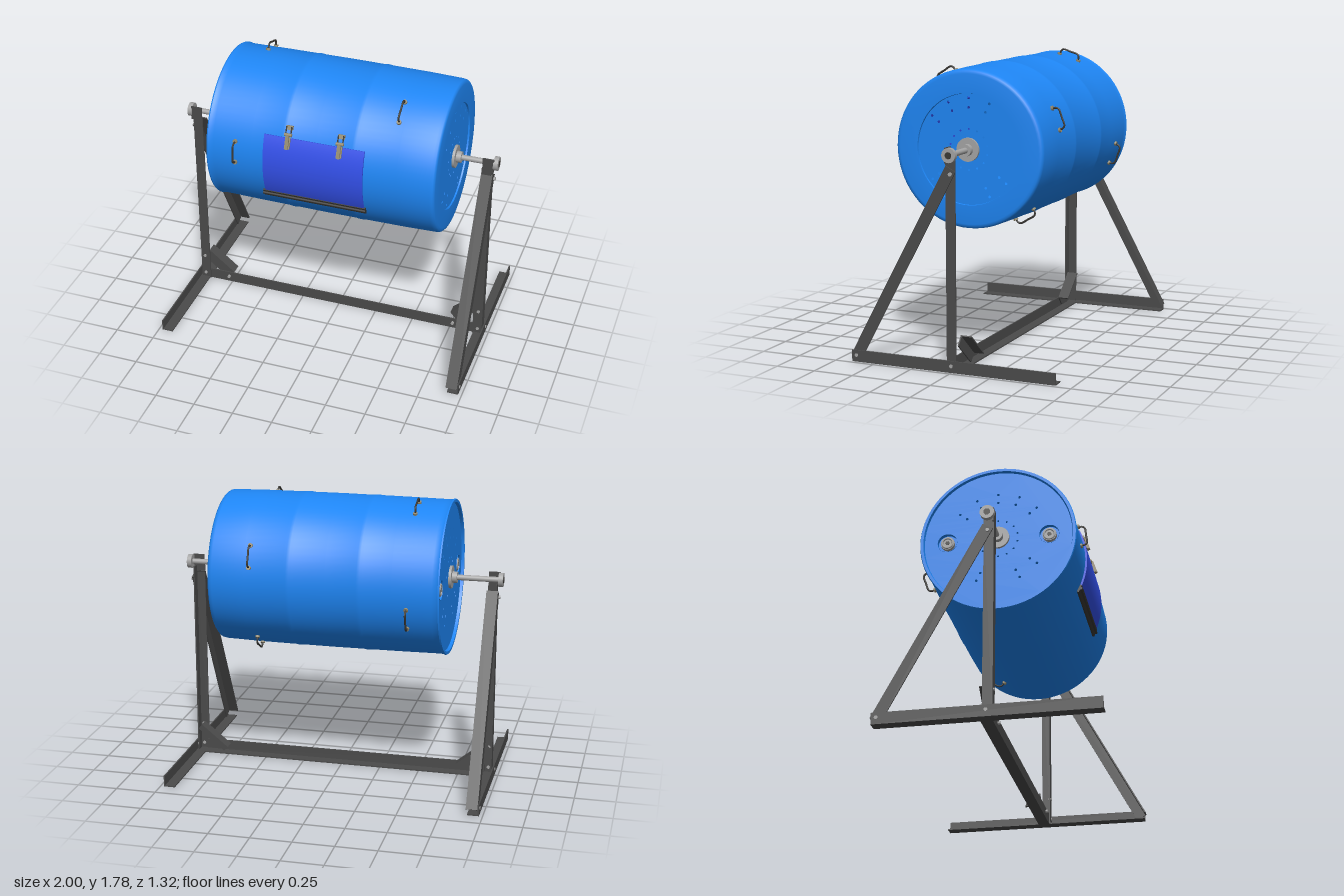
import * as THREE from 'three';
import { toCreasedNormals } from 'three/addons/utils/BufferGeometryUtils.js';

const V = (x, y, z) => new THREE.Vector3(x, y, z);
const mat = (color, side = THREE.FrontSide) => new THREE.MeshStandardMaterial({ color, side });
const blue = mat(0x1e86f5, THREE.DoubleSide);
const violet = mat(0x3350ea);
const iron = mat(0x4b4b4b);
const dark = mat(0x3a3834);
const steel = mat(0xa5a5a5);
const brass = mat(0x958b70);
const AXLE = 1.27; // height of the turning axis
const deg = Math.PI / 180;

function add(parent, name, geometry, material, x = 0, y = 0, z = 0) {
  const mesh = new THREE.Mesh(geometry, material);
  mesh.name = name;
  mesh.position.set(x, y, z);
  parent.add(mesh);
  return mesh;
}

// Cylinder lying along x
const rod = (r, length, sides = 24) => new THREE.CylinderGeometry(r, r, length, sides).rotateZ(-Math.PI / 2);

// Angle iron: outer corner at start, legs along u and v, running along w
function angleIron(parent, name, start, u, v, w, length, size = 0.07) {
  const t = 0.008;
  const shape = new THREE.Shape();
  [[0, 0], [size, 0], [size, t], [t, t], [t, size], [0, size]].forEach(([a, b], i) =>
    i ? shape.lineTo(a, b) : shape.moveTo(a, b));
  const geometry = new THREE.ExtrudeGeometry(shape, { depth: length, bevelEnabled: false });
  const rightHanded = u.clone().cross(v).dot(w) > 0;
  const m = new THREE.Matrix4().makeBasis(rightHanded ? u : v, rightHanded ? v : u, w).setPosition(start);
  add(parent, name, geometry.applyMatrix4(m), iron);
}

function stand(s) {
  const g = new THREE.Group();
  g.name = s > 0 ? 'leftStand' : 'rightStand';
  const inX = V(-s, 0, 0), up = V(0, 1, 0), back = V(0, 0, -1);
  angleIron(g, 'foot', V(s * 0.978, 0, -0.65), inX, up, V(0, 0, 1), 1.3);
  angleIron(g, 'upright', V(s * 0.962, 0, 0.035), inX, back, up, 1.24, 0.06);
  add(g, 'uprightTip', new THREE.BoxGeometry(0.07, 0.09, 0.008), iron, s * 0.94, 1.265, 0.031);

  // Sloping brace, one towards the front and one towards the back
  const low = V(s * 0.97, 0.025, s * 0.628), high = V(s * 0.97, 1.19, 0);
  const along = high.clone().sub(low), length = along.length();
  along.normalize();
  const out = V(0, Math.abs(along.z), s * along.y);
  angleIron(g, 'brace', low.addScaledVector(out, 0.035), inX, out.clone().negate(), along, length);

  // Corner gusset between upright and crossbeam
  const a = V(s * 0.76, 0.045, s > 0 ? -0.03 : 0.018), run = V(s * 0.17, 0.14, 0);
  const n = V(-s * 0.14, 0.17, 0).normalize();
  angleIron(g, 'gusset', a.addScaledVector(n, 0.035), n.clone().negate(), back, run.clone().normalize(), run.length());

  // Bolts
  for (const [y, z] of [[0.04, s * 0.62], [0.04, 0], [1.16, 0]])
    add(g, 'bolt', rod(0.011, 0.016, 12), steel, s * 0.974, y, z);
  for (const [x, y] of [[0.935, 0.04], [0.935, 0.175], [0.77, 0.04]])
    add(g, 'bolt', new THREE.CylinderGeometry(0.01, 0.01, 0.02, 12).rotateX(Math.PI / 2), steel, s * x, y, 0.031);

  // Axle stub, end collar, hub and drum flange
  const face = s > 0 ? 0.72 : 0.667;
  add(g, 'axle', rod(0.017, 0.99 - face), steel, s * (0.99 + face) / 2, AXLE);
  add(g, 'collar', rod(0.043, 0.028), steel, s * 0.984, AXLE);
  add(g, 'axleEnd', rod(0.02, 0.004), dark, s * 0.998, AXLE);
  add(g, 'flange', rod(0.07, 0.016, 32), steel, s * (face + 0.012), AXLE);
  add(g, 'hub', rod(0.035, 0.04), steel, s * (face + 0.03), AXLE);
  return g;
}

// Flat drum end with rings of drilled holes and optional larger bung openings
function endDisc(radius, bungs) {
  const shape = new THREE.Shape().absarc(0, 0, radius, 0, Math.PI * 2);
  const hole = (x, y, r) => shape.holes.push(new THREE.Path().absarc(x, y, r, 0, Math.PI * 2, true));
  for (const r of [0.3, 0.245])
    for (const k of [-6, -5, -2, -1, 0, 1, 2, 5, 6]) {
      const a = k * 25.7 * deg;
      hole(r * Math.sin(a), r * Math.cos(a), 0.008);
    }
  for (let k = 0; k < 14; k++) {
    const a = k * 25.7 * deg;
    hole(0.12 * Math.sin(a), 0.12 * Math.cos(a), 0.006);
  }
  for (const x of bungs) hole(x, 0, 0.06);
  return new THREE.ShapeGeometry(shape, 32);
}

function handle(parent, x, angle) {
  const g = new THREE.Group();
  g.name = 'handle';
  g.position.x = x;
  g.rotation.x = -angle * deg;
  const path = new THREE.CatmullRomCurve3(
    [[-0.062, 0.465], [-0.064, 0.49], [-0.052, 0.508], [0, 0.51], [0.052, 0.508], [0.064, 0.49], [0.062, 0.465]]
      .map(([y, z]) => V(0, y, z)));
  add(g, 'grip', new THREE.TubeGeometry(path, 24, 0.006, 8), dark);
  for (const y of [-0.067, 0.067])
    add(g, 'handleFoot', new THREE.CylinderGeometry(0.014, 0.014, 0.012, 12).rotateX(Math.PI / 2), brass, 0, y, 0.473);
  parent.add(g);
}

function drum() {
  const g = new THREE.Group();
  g.name = 'drum';
  g.position.y = AXLE;
  // Shell profile as [radius, x]: recessed rim, two faint beads, rounded shoulder
  const profile = [[0.45, -0.667], [0.455, -0.685], [0.472, -0.685], [0.476, -0.677], [0.471, -0.665], [0.47, -0.64],
    [0.473, -0.4], [0.474, -0.225], [0.477, -0.21], [0.477, -0.19], [0.474, -0.175], [0.475, 0], [0.474, 0.205],
    [0.477, 0.22], [0.477, 0.24], [0.474, 0.255], [0.472, 0.5], [0.467, 0.7], [0.464, 0.718], [0.455, 0.727],
    [0.44, 0.73], [0.327, 0.73], [0.325, 0.72]].map(([r, x]) => new THREE.Vector2(r, x));
  const shell = new THREE.LatheGeometry(profile, 72).rotateZ(-Math.PI / 2);
  add(g, 'shell', toCreasedNormals(shell, 0.7), blue);
  add(g, 'leftEnd', endDisc(0.325, []).rotateY(Math.PI / 2), blue, 0.72);
  add(g, 'rightEnd', endDisc(0.45, [-0.31, 0.31]).rotateY(-Math.PI / 2), blue, -0.667);

  // Sunken bungs in the right end
  for (const z of [-0.31, 0.31]) {
    add(g, 'bungCup', new THREE.CylinderGeometry(0.06, 0.06, 0.03, 32, 1, true).rotateZ(Math.PI / 2), blue, -0.655, 0, z);
    add(g, 'bungFloor', rod(0.06, 0.004, 32), blue, -0.641, 0, z);
    add(g, 'bung', rod(0.042, 0.024), steel, -0.655, 0, z);
    add(g, 'bungRing', new THREE.TorusGeometry(0.032, 0.006, 8, 24).rotateY(Math.PI / 2), steel, -0.667, 0, z);
    add(g, 'bungSocket', rod(0.014, 0.004, 6), dark, -0.668, 0, z);
  }

  // Curved door
  const arc = new THREE.Shape();
  arc.absarc(0, 0, 0.485, -23 * deg, 24.6 * deg, false);
  arc.absarc(0, 0, 0.468, 24.6 * deg, -23 * deg, true);
  const door = new THREE.ExtrudeGeometry(arc, { depth: 0.62, bevelEnabled: false, curveSegments: 16 });
  add(g, 'door', toCreasedNormals(door.rotateY(-Math.PI / 2), 0.5), violet, 0.3);

  // Hinge along the lower edge of the door
  const hinge = new THREE.Group();
  hinge.name = 'hinge';
  hinge.rotation.x = 25.5 * deg;
  add(hinge, 'hingeLeaf', new THREE.BoxGeometry(0.645, 0.05, 0.012), dark, -0.012, 0, 0.483);
  add(hinge, 'hingePin', rod(0.009, 0.645, 12), dark, -0.012, 0.004, 0.491);
  g.add(hinge);

  // Toggle latches on the upper edge
  for (const x of [-0.17, 0.15]) {
    const latch = new THREE.Group();
    latch.name = 'latch';
    latch.position.x = x;
    latch.rotation.x = -24.5 * deg;
    add(latch, 'latchPlate', new THREE.BoxGeometry(0.032, 0.07, 0.01), brass, 0, -0.03, 0.488);
    add(latch, 'latchLever', new THREE.BoxGeometry(0.02, 0.085, 0.012), brass, 0, -0.025, 0.5).rotation.x = 0.12;
    add(latch, 'latchPivot', rod(0.01, 0.046, 12), brass, 0, 0.02, 0.495);
    add(latch, 'latchHook', new THREE.BoxGeometry(0.04, 0.026, 0.016), brass, 0, 0.062, 0.478);
    for (const dx of [-0.016, 0.016])
      add(latch, 'latchBail', new THREE.CylinderGeometry(0.004, 0.004, 0.06, 8), dark, dx, 0.04, 0.492);
    g.add(latch);
  }

  // Handles staggered around the shell
  for (const [x, angle] of [[-0.5, 7], [0.465, 57], [-0.49, 108], [0.465, 159], [-0.49, 199], [0.465, 239]])
    handle(g, x, angle);
  return g;
}

export function createModel() {
  const model = new THREE.Group();
  model.name = 'barrelTumbler';
  model.add(drum(), stand(1), stand(-1));
  angleIron(model, 'crossbeam', V(-0.91, 0, 0.027), V(0, 1, 0), V(0, 0, -1), V(1, 0, 0), 1.82);
  return model;
}
